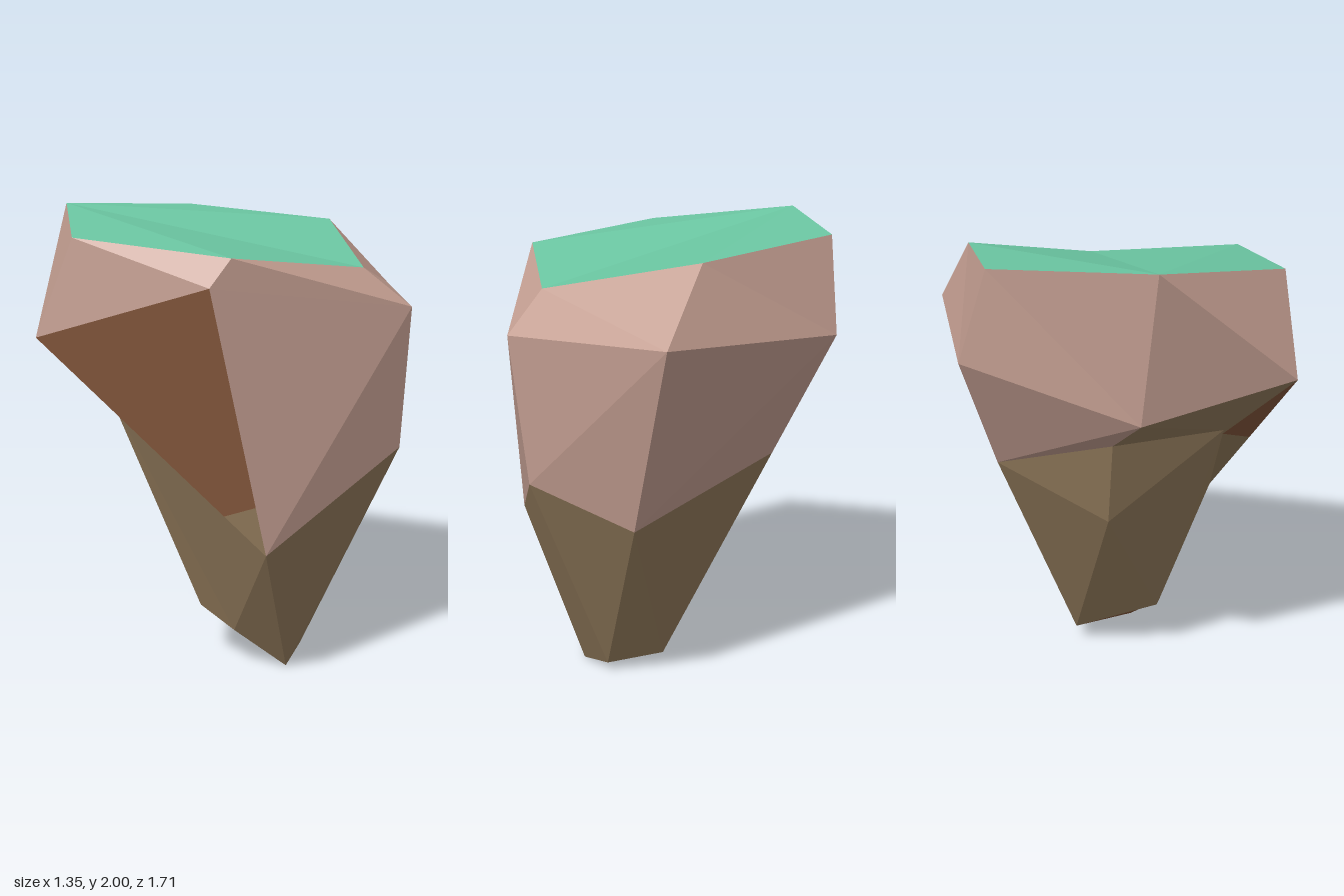
import * as THREE from 'three';

// Faceted rock island: named corner points, faces listed by corner names.
const P = {
  // grass rim
  T0: [0.52, 1.855, 0.41], T1: [-0.08, 1.91, 0.755], T2: [-0.68, 2.0, 0.41],
  T3: [-0.68, 1.965, -0.29], T4: [-0.08, 1.915, -0.635], T5: [0.52, 1.77, -0.29],
  // widest ring
  U0: [0.51, 1.745, 0.51], U1: [-0.22, 1.495, 0.855], U2: [-0.65, 1.38, 0.335],
  U3: [-0.68, 1.57, -0.42], U4: [0.09, 1.62, -0.855], U5: [0.67, 1.61, -0.43],
  // join of upper and lower rock
  M0: [0.595, 0.645, 0.29], M1: [-0.155, 1.22, 0.54], M2: [-0.51, 1.23, 0.17],
  M3: [-0.43, 1.06, -0.375], M4: [0.19, 0.825, -0.63], M5: [0.6, 0.99, -0.45],
  // lower tip
  B0: [0.215, 0.175, 0.155], B1: [0.03, 0.25, 0.2], B2: [-0.42, 0.85, 0.12],
  B3: [0.01, 0.08, -0.19], B4: [0.26, 0.045, -0.19], B5: [0.35, 0.005, -0.03],
};
const between = (a, b, t) => P[a].map((v, i) => v + (P[b][i] - v) * t);
// corners of the soil patch on the front
P.Q = between('U0', 'M0', 0.81);
P.P = between('U1', 'M0', 0.82);
P.S = between('U1', 'M0', 0.5);
P.R = between('M1', 'M0', 0.06);

const centre = new THREE.Vector3(0.05, 1.1, -0.05);

// Fan each face into triangles and turn them outward
function facets(name, material, faces) {
  const pos = [];
  for (const face of faces) {
    const pts = face.split(' ').map((k) => new THREE.Vector3(...P[k]));
    for (let i = 1; i < pts.length - 1; i++) {
      const tri = new THREE.Triangle(pts[0], pts[i], pts[i + 1]);
      const n = tri.getNormal(new THREE.Vector3());
      const out = n.dot(pts[0].clone().sub(centre)) > 0;
      const order = out ? [tri.a, tri.b, tri.c] : [tri.a, tri.c, tri.b];
      order.forEach((v) => pos.push(v.x, v.y, v.z));
    }
  }
  const geo = new THREE.BufferGeometry();
  geo.setAttribute('position', new THREE.Float32BufferAttribute(pos, 3));
  geo.computeVertexNormals();
  const mesh = new THREE.Mesh(geo, material);
  mesh.name = name;
  return mesh;
}

function mat(name, color) {
  const m = new THREE.MeshStandardMaterial({ color });
  m.name = name;
  return m;
}

export function createModel() {
  const grass = mat('grassGreen', 0x6bc6a2);
  const pink = mat('pinkStone', 0xc29d90);
  const olive = mat('oliveStone', 0x937b5c);
  const brown = mat('brownSoil', 0x85583c);

  // Upper rock: bevel under the rim, then the side walls
  const upper = [];
  for (let i = 0; i < 6; i++) {
    const j = (i + 1) % 6;
    upper.push(`U${i} U${j} T${j} T${i}`);
  }
  for (const [i, j] of [[2, 3], [3, 4], [4, 5], [5, 0]]) upper.push(`U${i} U${j} M${j} M${i}`);

  const group = new THREE.Group();
  group.name = 'rockIsland';
  group.add(
    facets('grassTop', grass, ['T2 T3 T4 T5 T0 T1']),
    facets('upperRock', pink, upper),
    facets('lowerRock', olive, [
      'U2 U1 M1 M2', 'U1 M1 R', 'R M0 S', 'P Q M0', // overhang and patch edges
      'M1 M2 B2 B1', 'M1 M0 B0 B1', // front
      'M0 B0 B5', 'M0 M5 B5', 'M5 M4 B4 B5', // left side
      'M4 M3 B3 B4', 'M3 B2 B3', 'M2 B2 M3', // back and right side
      'B2 B1 B3', 'B1 B0 B3', // underside
    ]),
    facets('soilPatch', brown, ['U1 U0 Q P', 'U1 R S']),
    facets('bottomTip', brown, ['B5 B0 B3 B4']),
  );
  return group;
}
